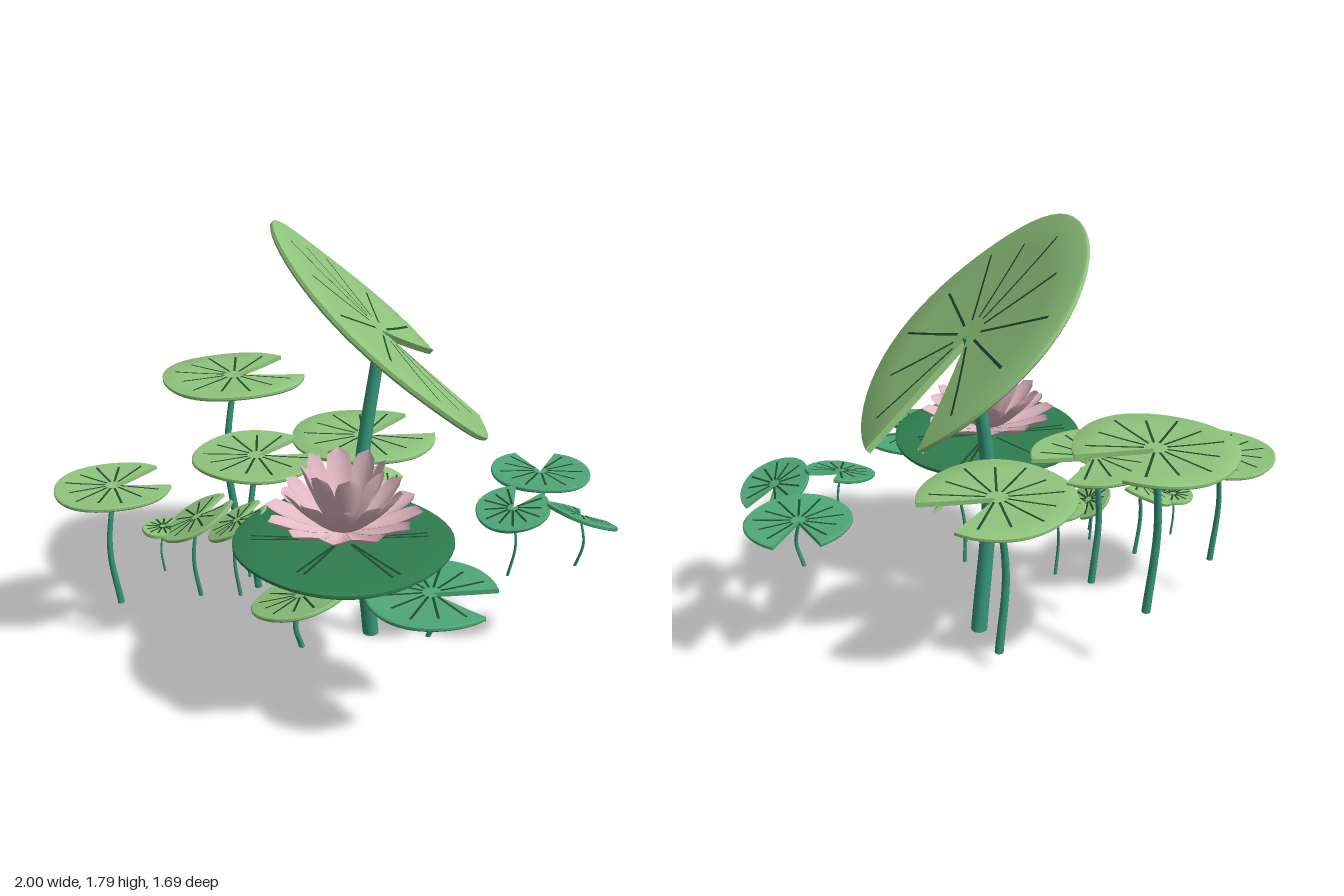
import * as THREE from 'three';
import { toCreasedNormals, mergeGeometries } from 'three/addons/utils/BufferGeometryUtils.js';

const mat = (color) => new THREE.MeshStandardMaterial({ color, side: THREE.DoubleSide });
const M = {
  light: mat(0x8fc47c), mid: mat(0x4fa878), dark: mat(0x2f7d4e),
  stem: mat(0x36967a), vein: mat(0x1f4a2c), petal: mat(0xe2b8c4), stamen: mat(0xe0b840),
};
const { degToRad, clamp } = THREE.MathUtils;
const UP = new THREE.Vector3(0, 1, 0);

function mesh(name, geometry, material) {
  const m = new THREE.Mesh(geometry, material);
  m.name = name;
  return m;
}

// Move every vertex of a geometry by a rule
function warp(geo, rule) {
  const p = geo.attributes.position, v = new THREE.Vector3();
  for (let i = 0; i < p.count; i++) {
    rule(v.fromBufferAttribute(p, i));
    p.setXYZ(i, v.x, v.y, v.z);
  }
  geo.computeVertexNormals();
  return geo;
}

// Notched round leaf with a thin rim, slight cup and wave, and radial veins.
// lean: sideways lean of the leaf normal; notch: heading of the gap seen from above
function leaf(at, r, color, lean, notch) {
  const group = new THREE.Group();
  group.name = 'leaf';
  group.position.copy(at);
  const normal = new THREE.Vector3(lean[0], 1, lean[1]).normalize();
  group.quaternion.setFromUnitVectors(UP, normal);

  // Bring both notch edges into the tilted leaf plane
  const inverse = group.quaternion.clone().invert();
  const [a0, a1] = [notch - 25, notch + 25].map((deg) => {
    const x = Math.cos(degToRad(deg)), z = Math.sin(degToRad(deg));
    const d = new THREE.Vector3(x, -lean[0] * x - lean[1] * z, z).applyQuaternion(inverse);
    return Math.atan2(d.z, d.x);
  });
  const span = 2 * Math.PI - (a1 - a0);
  const t = 0.012 + r * 0.025, hole = 0.03 * r;
  const curve = (v) => {
    const k = Math.hypot(v.x, v.z) / r, a = Math.atan2(v.z, v.x);
    v.y += r * k * k * (0.022 + 0.018 * Math.sin(3 * a + at.x * 9));
  };

  // Half section: underside outwards, rim, then the top back inwards
  const rings = [hole, 0.35 * r, 0.7 * r, 0.98 * r];
  const profile = [
    ...rings.map((x) => new THREE.Vector2(x, -t)),
    new THREE.Vector2(r, -0.7 * t), new THREE.Vector2(r, -0.2 * t),
    ...rings.map((x) => new THREE.Vector2(x, 0)).reverse(),
  ];
  const blade = new THREE.LatheGeometry(profile, 48, Math.PI / 2 - a0 - 2 * Math.PI, span);
  const walls = [a0, a1].map((a) => new THREE.PlaneGeometry(r - hole, t, 8, 1)
    .translate((r + hole) / 2, -t / 2, 0).rotateY(-a));
  const body = warp(mergeGeometries([blade, ...walls]), curve);
  group.add(mesh('blade', toCreasedNormals(body, 0.6), M[color]));

  const count = 11, strips = [];
  for (let i = 0; i < count; i++) {
    const len = r * (i % 2 ? 0.62 : 0.7);
    strips.push(new THREE.PlaneGeometry(len, 0.008 + 0.006 * r, 6, 1).rotateX(-Math.PI / 2)
      .translate(0.14 * r + len / 2, 0.003, 0).rotateY(-a1 - span * (i + 0.5) / count));
  }
  group.add(mesh('veins', warp(mergeGeometries(strips), curve), M.vein));
  return group;
}

// Tapered stem, bowed sideways between its foot and the leaf hub
function stem(foot, top, r, bowX, bowZ) {
  const mid = foot.clone().lerp(top, 0.5).add(new THREE.Vector3(bowX, 0, bowZ));
  const path = new THREE.CatmullRomCurve3([foot, mid, top]);
  const geo = warp(new THREE.CylinderGeometry(r * 0.7, r, 1, 12, 14), (v) => {
    const c = path.getPoint(clamp(v.y + 0.5, 0, 1));
    v.set(c.x + v.x, c.y, c.z + v.z);
  });
  return mesh('stem', toCreasedNormals(geo, 0.9), M.stem);
}

// One leaf on its stem; the stem thickness and bow follow from the leaf size
function plant(name, x, y, z, r, footY, { color = 'light', lean = [0, 0], notch = -63 } = {}) {
  const group = new THREE.Group();
  group.name = name;
  const at = new THREE.Vector3(x, y, z);
  const top = at.clone().setY(y - 0.012);
  const foot = new THREE.Vector3(x - 0.02 * lean[0], footY, z + 0.06 * r);
  const thickness = { light: 0.06, mid: 0.042, dark: 0.034 }[color] * r;
  const bow = color === 'mid' ? [0.025, 0] : [-0.04 * r, 0.14 * r];
  group.add(leaf(at, r, color, lean, notch), stem(foot, top, thickness, ...bow));
  return group;
}

// Pointed, cupped petal: rises from the heart to its tip along a bowed line
function petal(reach, rise, half) {
  const curve = new THREE.QuadraticBezierCurve(
    new THREE.Vector2(0.03, 0.03), new THREE.Vector2(0.65 * reach, 0.4 * rise), new THREE.Vector2(reach, rise));
  return warp(new THREE.PlaneGeometry(2, 1, 6, 10), (v) => {
    const s = v.y + 0.5, u = v.x, c = curve.getPoint(s);
    const w = half * (0.25 + 1.15 * s) * Math.sqrt(Math.max(0, 1 - s ** 3.5));
    v.set(c.x - 0.2 * w * u * u, c.y + 0.35 * w * u * u, w * u);
  });
}

function flower() {
  const group = new THREE.Group();
  group.name = 'flower';
  group.position.set(0.25, 0.72, 0.38);
  // Three tiers of petals, each narrower, steeper and with fewer petals
  for (let k = 0; k < 3; k++) {
    const count = 12 - 2 * k;
    const geo = petal(0.295 - 0.068 * k, 0.12 + 0.09 * k, 0.062 - 0.004 * k);
    for (let i = 0; i < count; i++) {
      const m = mesh('petal', geo, M.petal);
      m.rotation.y = (i + k * 0.5) * 2 * Math.PI / count;
      group.add(m);
    }
  }
  // Stamens around the heart
  const stamen = new THREE.ConeGeometry(0.008, 0.14, 6).translate(0, 0.07, 0).rotateZ(-0.3).translate(0.02, 0.05, 0);
  for (let i = 0; i < 10; i++) {
    const m = mesh('stamen', stamen, M.stamen);
    m.rotation.y = i * Math.PI / 5;
    group.add(m);
  }
  group.add(mesh('heart', new THREE.SphereGeometry(0.04, 16, 10).translate(0, 0.06, 0), M.stamen));
  return group;
}

export function createModel() {
  const root = new THREE.Group();
  root.name = 'waterLilies';
  // Tall tilted leaf, and the level leaf carrying the flower
  root.add(plant('tallLeaf', 0.07, 1.37, -0.11, 0.593, 0, { lean: [0.727, -0.62], notch: -76 }));
  root.add(plant('flowerLeaf', 0.25, 0.71, 0.38, 0.415, 0.48, { color: 'dark', notch: -159 }));
  root.add(flower());
  // Wide level leaves
  root.add(plant('highLeaf', -0.69, 1.04, -0.07, 0.31, 0.31));
  root.add(plant('frontLeaf', -0.75, 0.74, 0.61, 0.235, 0.2));
  root.add(plant('middleLeaf', -0.355, 0.825, 0.175, 0.265, 0.21));
  root.add(plant('backLeaf', -0.15, 0.81, -0.3, 0.312, 0.08));
  // Mid-green leaves
  root.add(plant('sideLeaf', 0.655, 0.63, 0.4, 0.243, 0.46, { color: 'mid', notch: -17 }));
  root.add(plant('farLeaf', 0.54, 0.7, -0.64, 0.21, 0.49, { color: 'mid', notch: -125 }));
  root.add(plant('farTiltedLeaf', 0.845, 0.675, -0.4, 0.153, 0.45, { color: 'mid', lean: [0.12, -0.43], notch: -90 }));
  root.add(plant('farSmallLeaf', 0.63, 0.71, -0.23, 0.147, 0.41, { color: 'mid', lean: [0, 0.25], notch: -90 }));
  // Small leaves, most of them tilted
  root.add(plant('steepLeaf', 0.14, 0.675, -0.09, 0.14, 0.33, { lean: [1.1, 0], notch: -78 }));
  root.add(plant('lowLeaf', 0.24, 0.58, 0.62, 0.19, 0.37, { lean: [-0.28, 0.05] }));
  root.add(plant('leaningLeaf', -0.465, 0.61, 0.43, 0.165, 0.25, { lean: [-0.4, 0.3] }));
  root.add(plant('risingLeaf', -0.25, 0.655, 0.42, 0.135, 0.32, { lean: [-0.45, 0.3] }));
  root.add(plant('droopingLeaf', -0.28, 0.54, 0.31, 0.1, 0.34, { lean: [0.4, -0.55] }));
  root.add(plant('smallLeaf', -0.595, 0.555, 0.5, 0.085, 0.35));
  root.add(plant('hiddenLeaf', -0.19, 0.555, 0.17, 0.125, 0.21));
  root.add(plant('tinyLeaf', -0.07, 0.515, 0.06, 0.045, 0.41));
  return root;
}
